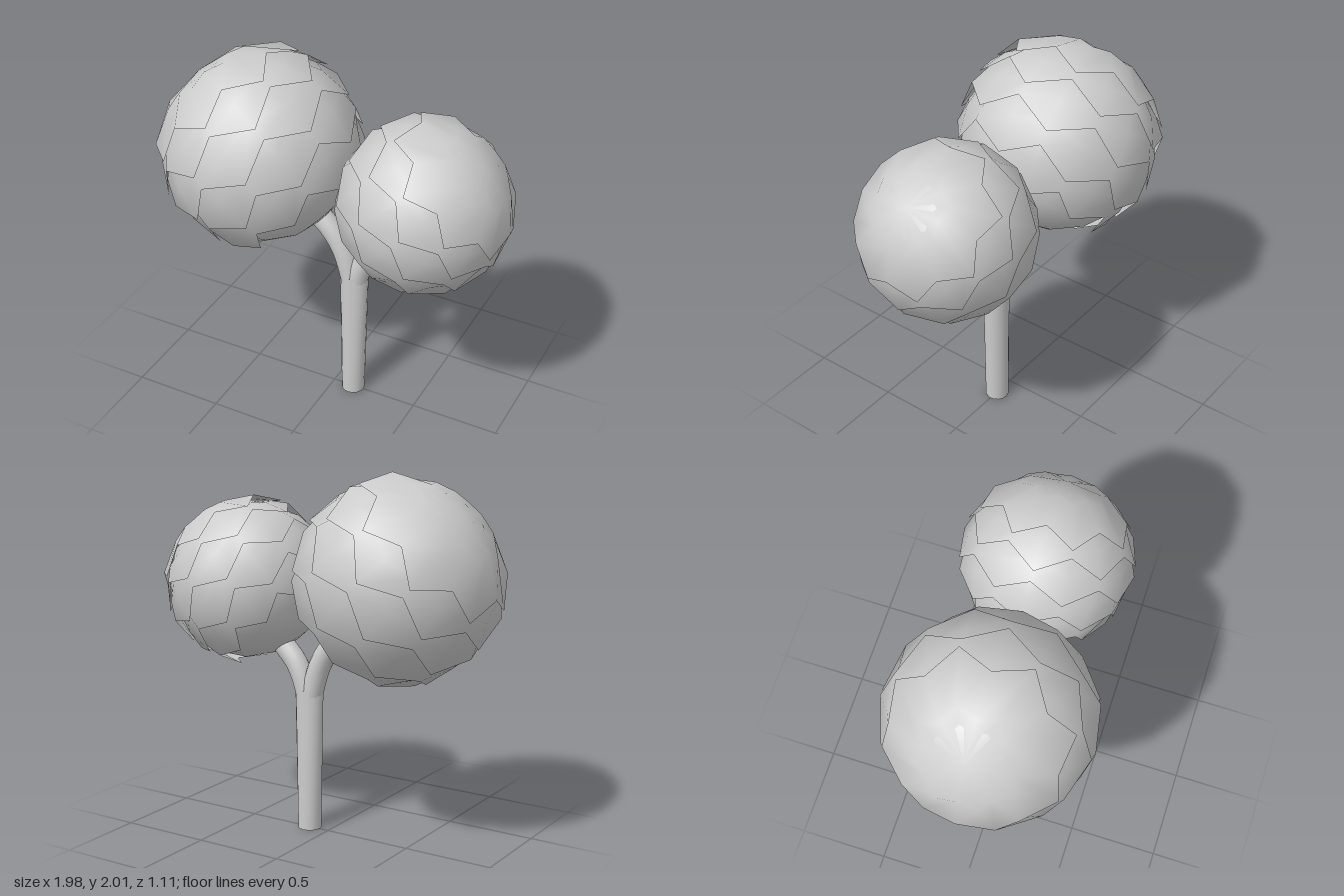
import * as THREE from 'three';

const SIDES = 16;
const rad = THREE.MathUtils.degToRad;
const grey = new THREE.MeshStandardMaterial({ color: 0xcccccc, side: THREE.DoubleSide });

function add(parent, name, geometry) {
  const mesh = new THREE.Mesh(geometry, grey);
  mesh.name = name;
  parent.add(mesh);
  return mesh;
}

// One leaf shell: a band of a sphere that flares towards a zigzag lower edge.
function leafShell(start, edge, tooth, longOnEven, rTop, rEdge, rows) {
  const geo = new THREE.CylinderGeometry(1, 1, 1, SIDES, rows, true);
  const { position, normal, uv } = geo.attributes;
  const p = new THREE.Vector3();
  for (let i = 0; i < position.count; i++) {
    const column = Math.round(uv.getX(i) * SIDES);
    const t = 1 - uv.getY(i);
    const isLong = (column % 2 === 0) === longOnEven;
    const end = edge + (isLong ? tooth : -tooth);
    const polar = rad(THREE.MathUtils.lerp(start, end, t));
    p.setFromSphericalCoords(1, polar, (column / SIDES) * Math.PI * 2);
    normal.setXYZ(i, p.x, p.y, p.z);
    p.multiplyScalar(THREE.MathUtils.lerp(rTop, rEdge, t));
    position.setXYZ(i, p.x, p.y, p.z);
  }
  return geo;
}

// Ball of overlapping leaf shells around a tilted axis.
function crown(name, x, y, tilt, scale) {
  const group = new THREE.Group();
  group.name = name;
  add(group, 'crownCore', new THREE.SphereGeometry(0.515, SIDES, 9));
  const edges = [56, 73, 92, 112, 131];
  edges.forEach((edge, i) => {
    const start = i === 0 ? 0 : edges[i - 1] - 14;
    const rTop = i === 0 ? 0.515 : 0.505;
    add(group, 'leafShell' + (i + 1), leafShell(start, edge, 6, i % 2 === 1, rTop, 0.558, 2));
  });
  group.position.set(x, y, 0);
  group.rotation.z = rad(tilt);
  group.scale.setScalar(scale);
  return group;
}

function branch(parent, name, points) {
  const path = new THREE.CatmullRomCurve3(points.map(([x, y]) => new THREE.Vector3(x, y, 0)));
  add(parent, name, new THREE.TubeGeometry(path, 12, 0.061, SIDES, false));
}

export function createModel() {
  const tree = new THREE.Group();
  tree.name = 'tree';

  // Trunk: open tube, widening sideways towards the fork
  const trunkGeo = new THREE.CylinderGeometry(0.065, 0.065, 0.8, SIDES, 1, true);
  const pos = trunkGeo.attributes.position;
  for (let i = 0; i < pos.count; i++) {
    if (pos.getY(i) > 0) pos.setX(i, pos.getX(i) * 1.25);
  }
  trunkGeo.computeVertexNormals();
  add(tree, 'trunk', trunkGeo).position.set(0.12, 0.4, 0);

  // Forked branches running into the crowns
  branch(tree, 'rightBranch', [[0.103, 0.77], [0.09, 0.82], [0.05, 0.94], [-0.02, 1.05], [-0.15, 1.17]]);
  branch(tree, 'leftBranch', [[0.137, 0.77], [0.15, 0.82], [0.2, 0.93], [0.28, 1.02], [0.38, 1.12]]);

  tree.add(crown('largeCrown', -0.44, 1.455, 45, 1));
  tree.add(crown('smallCrown', 0.52, 1.37, -45, 0.84));
  return tree;
}
